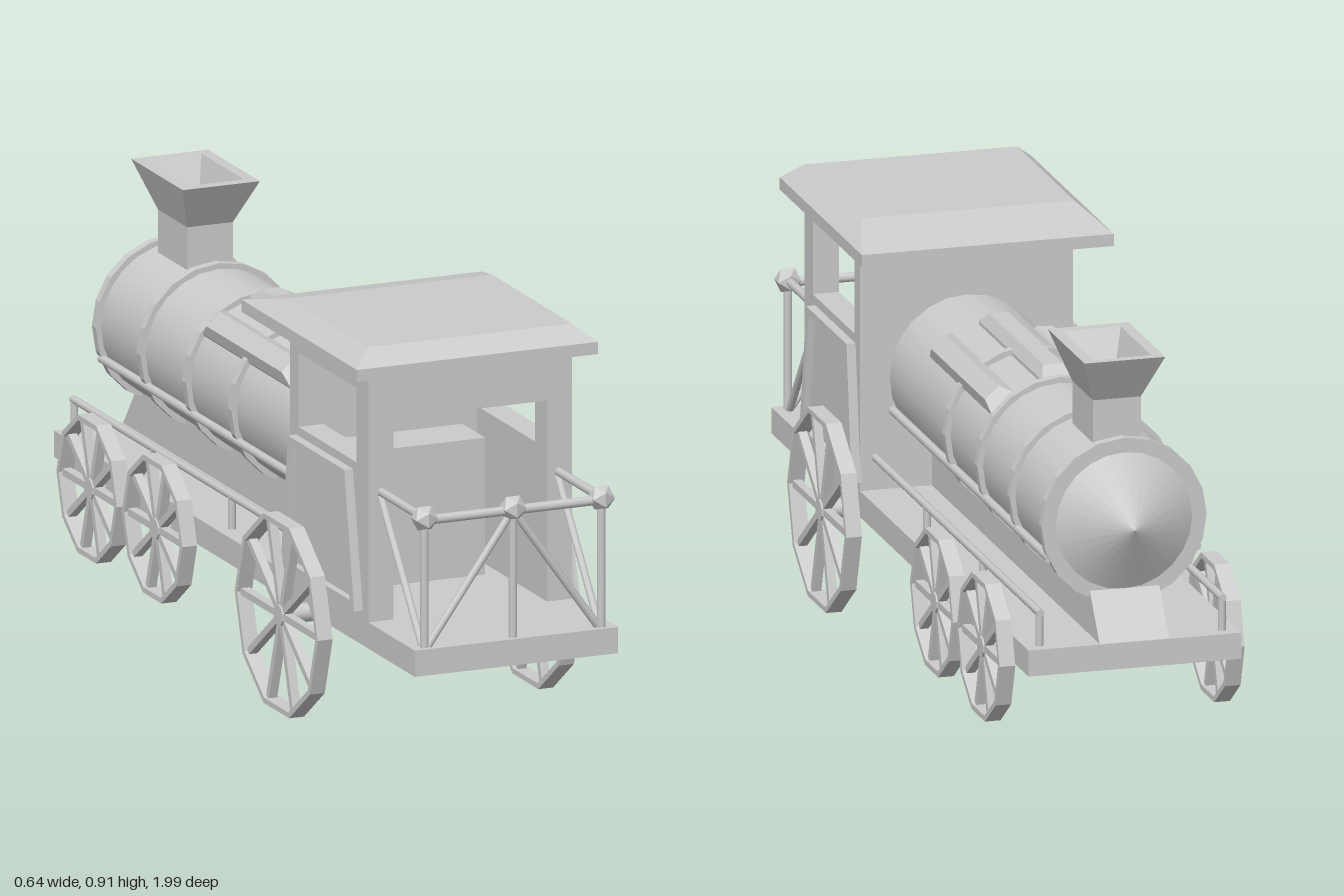
import * as THREE from 'three';

const mat = new THREE.MeshStandardMaterial({ color: 0xcccccc, side: THREE.DoubleSide });
const flat = new THREE.MeshStandardMaterial({ color: 0xcccccc, flatShading: true, side: THREE.DoubleSide });

export function createModel() {
  const root = new THREE.Group();
  root.name = 'locomotive';

  const add = (name, geo, material = flat, parent = root) => {
    const m = new THREE.Mesh(geo, material);
    m.name = name;
    parent.add(m);
    return m;
  };

  // Box given by its limits
  const box = (name, x0, x1, y0, y1, z0, z1) => {
    const m = add(name, new THREE.BoxGeometry(x1 - x0, y1 - y0, z1 - z0));
    m.position.set((x0 + x1) / 2, (y0 + y1) / 2, (z0 + z1) / 2);
    return m;
  };

  // Round bar between two points
  const bar = (name, a, b, r = 0.009, sides = 8) => {
    const p = new THREE.Vector3(...a), q = new THREE.Vector3(...b);
    const m = add(name, new THREE.CylinderGeometry(r, r, p.distanceTo(q), sides), mat);
    m.position.copy(p).lerp(q, 0.5);
    m.quaternion.setFromUnitVectors(new THREE.Vector3(0, 1, 0), q.sub(p).normalize());
    return m;
  };

  // Stack of rectangular sections [y, halfWidth, zBack, zFront]
  const loft = (rings) => {
    const corners = rings.map(([y, h, z0, z1]) => [[-h, y, z1], [h, y, z1], [h, y, z0], [-h, y, z0]]);
    const pos = [];
    for (let i = 0; i < rings.length - 1; i++) {
      for (let j = 0; j < 4; j++) {
        const k = (j + 1) % 4;
        const a = corners[i][j], b = corners[i][k], c = corners[i + 1][k], d = corners[i + 1][j];
        pos.push(...a, ...b, ...c, ...a, ...c, ...d);
      }
    }
    const g = new THREE.BufferGeometry();
    g.setAttribute('position', new THREE.Float32BufferAttribute(pos, 3));
    g.computeVertexNormals();
    return g;
  };

  // Side profile in (z, y), with optional hole, spanning x0 to x1
  const sidePlate = (name, points, hole, x0, x1) => {
    const s = new THREE.Shape(points.map(p => new THREE.Vector2(...p)));
    if (hole) s.holes.push(new THREE.Path(hole.map(p => new THREE.Vector2(...p))));
    const g = new THREE.ExtrudeGeometry(s, { depth: x1 - x0, bevelEnabled: false });
    g.rotateY(-Math.PI / 2).translate(x1, 0, 0);
    return add(name, g);
  };

  // Deck and boiler cradle
  box('deck', -0.245, 0.245, 0.22, 0.28, -1, 0.985);
  sidePlate('boilerCradle', [[0.3, 0.28], [-0.995, 0.28], [-0.92, 0.38], [0.3, 0.38]], null, -0.08, 0.08);

  // Cab walls
  const rect = (a, b, c, d) => [[a, c], [b, c], [b, d], [a, d]];
  for (const s of [-1, 1]) {
    const span = (a, b) => (s > 0 ? [a, b] : [-b, -a]);
    sidePlate('cabSideWall', rect(0.3, 0.73, 0.28, 0.85), rect(0.345, 0.665, 0.63, 0.8), ...span(0.185, 0.245));
    const outer = [[0.7, 0.3], [0.295, 0.3], [0.335, 0.61], [0.645, 0.61]];
    const inner = [[0.675, 0.32], [0.32, 0.32], [0.352, 0.592], [0.628, 0.592]];
    sidePlate('cabPanelFrame', outer, inner, ...span(0.243, 0.266));
    sidePlate('cabPanel', inner, null, ...span(0.243, 0.25));
    box('doorPost', ...span(0.125, 0.185).map(x => x + s * 0.06), 0.28, 0.85, 0.67, 0.729);
  }
  box('doorHeader', -0.185, 0.185, 0.74, 0.85, 0.67, 0.73);
  box('cabBackWall', -0.185, 0.185, 0.28, 0.85, 0.3, 0.345);
  box('firebox', -0.15, 0.15, 0.28, 0.593, 0.34, 0.47);

  // Roof
  add('roof', loft([
    [0.845, 0, 0.45, 0.45], [0.845, 0.29, 0.135, 0.77], [0.873, 0.29, 0.135, 0.77],
    [0.91, 0.245, 0.29, 0.73], [0.91, 0, 0.5, 0.5],
  ]));

  // Boiler with bands and pointed nose
  const boilerY = 0.535;
  const boiler = add('boiler', new THREE.CylinderGeometry(0.177, 0.177, 1.21, 24), mat);
  boiler.rotation.x = Math.PI / 2;
  boiler.position.set(0, boilerY, -0.3);
  const nose = add('boilerNose', new THREE.ConeGeometry(0.168, 0.09, 24), mat);
  nose.rotation.x = -Math.PI / 2;
  nose.position.set(0, boilerY, -0.955);
  for (const z of [-0.16, -0.41, -0.66, -0.905]) {
    const ring = add('boilerBand', new THREE.CylinderGeometry(0.19, 0.19, 0.022, 20, 1, false));
    ring.rotation.x = Math.PI / 2;
    ring.position.set(0, boilerY, z);
  }

  // Bevelled boxes laid around the top of the boiler
  for (const angle of [-0.75, 0, 0.75]) {
    const m = add('boilerTopBox', loft([
      [0.155, 0.036, -0.4, 0.085], [0.18, 0.036, -0.4, 0.085],
      [0.205, 0.022, -0.365, 0.05], [0.205, 0, -0.16, -0.16],
    ]));
    m.position.y = boilerY;
    m.rotation.z = angle;
  }

  // Chimney, open at the top
  add('chimney', loft([
    [0.66, 0.055, -0.86, -0.7], [0.8, 0.055, -0.86, -0.7], [0.905, 0.093, -0.922, -0.638],
    [0.905, 0.067, -0.9, -0.665], [0.8, 0.033, -0.84, -0.725], [0.72, 0.033, -0.84, -0.725],
    [0.72, 0, -0.78, -0.78],
  ]));

  // Boiler pipes and low deck handrails
  for (const s of [-1, 1]) {
    bar('boilerPipe', [s * 0.17, 0.46, 0.3], [s * 0.17, 0.46, -0.91], 0.01);
    bar('deckRail', [s * 0.21, 0.355, 0.3], [s * 0.21, 0.355, -0.975]);
    for (const z of [-0.1, -0.53, -0.967]) {
      bar('deckRailPost', [s * 0.21, 0.27, z], [s * 0.21, 0.355, z]);
    }
  }

  // Ten-sided spoked wheels
  const wheel = (name, x, z, r) => {
    const g = new THREE.Group();
    g.name = name;
    const w = 0.036, t = 0.013;
    const ring = (rad) => Array.from({ length: 10 }, (_, i) =>
      new THREE.Vector2(rad * Math.cos(i * Math.PI / 5), rad * Math.sin(i * Math.PI / 5)));
    const shape = new THREE.Shape(ring(r));
    shape.holes.push(new THREE.Path(ring(r - t)));
    const rim = new THREE.ExtrudeGeometry(shape, { depth: w, bevelEnabled: false });
    rim.translate(0, 0, -w / 2);
    add('rim', rim, flat, g);
    for (let i = 0; i < 10; i++) {
      const spoke = new THREE.BoxGeometry(r - t / 2, 0.016, 0.02);
      spoke.translate((r - t / 2) / 2, 0, 0).rotateZ(i * Math.PI / 5);
      add('spoke', spoke, flat, g);
    }
    const hub = new THREE.CylinderGeometry(0.025, 0.025, 0.028, 10);
    add('hub', hub.rotateX(Math.PI / 2), flat, g);
    g.rotation.y = Math.PI / 2;
    g.position.set(x, 0.2175, z);
    root.add(g);
  };
  for (const [name, x, z, r] of [
    ['driveWheel', 0.3, 0.39, 0.2285],
    ['smallWheel', 0.264, -0.375, 0.166],
    ['smallWheel', 0.264, -0.735, 0.166],
  ]) {
    wheel(name, x, z, r);
    wheel(name, -x, z, r);
    bar('axle', [-x, 0.2175, z], [x, 0.2175, z], 0.022, 12);
  }

  // Platform railing with faceted knobs
  const rz = 0.965, ry = 0.57, rx = 0.213;
  bar('platformRail', [-rx, ry, rz], [rx, ry, rz], 0.011);
  for (const x of [-rx, 0, rx]) {
    bar('railPost', [x, 0.26, rz], [x, ry, rz], 0.01);
    add('railKnob', new THREE.IcosahedronGeometry(0.031, 0)).position.set(x, 0.575, rz);
  }
  for (const s of [-1, 1]) {
    bar('frontBrace', [0, ry, rz], [s * rx, 0.27, rz]);
    bar('sideRail', [s * rx, 0.575, rz], [s * rx, 0.575, 0.72], 0.01);
    bar('sideBrace', [s * rx, 0.565, 0.725], [s * rx, 0.275, 0.955]);
  }

  return root;
}
